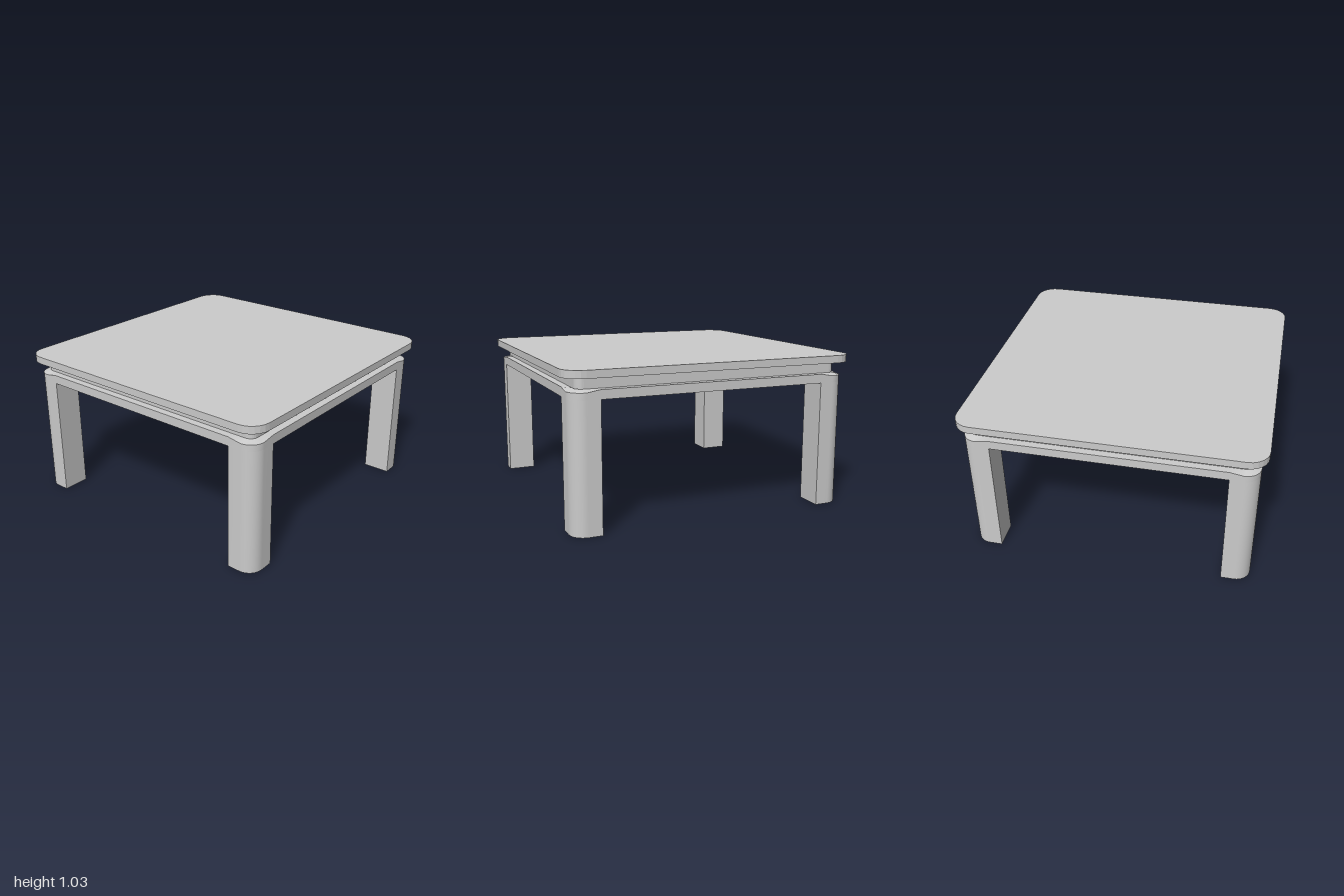
import * as THREE from 'three';

const OUT = 0.96;      // outer face of legs and apron
const INNER = 0.77;    // inner face of legs
const APRON_Y = 0.845; // underside
const RIM_Y = 0.905;   // ledge height
const DIP_Y = 0.89;    // ledge height at the rounded corners

const solid = new THREE.MeshStandardMaterial({ color: 0xcccccc });
const thin = new THREE.MeshStandardMaterial({ color: 0xcccccc, side: THREE.DoubleSide });

function add(parent, name, geometry, material) {
  const mesh = new THREE.Mesh(geometry, material);
  mesh.name = name;
  parent.add(mesh);
  return mesh;
}

// Rounded corner path [x, z, rimHeight] in the +x +z quarter
function cornerPath(half, start, radius, segments = 8) {
  const c = half - radius;
  const points = [[start, half, RIM_Y]];
  for (let i = 0; i <= segments; i++) {
    const a = (Math.PI / 2) * (1 - i / segments);
    points.push([c + radius * Math.cos(a), c + radius * Math.sin(a), DIP_Y]);
  }
  points.push([half, start, RIM_Y]);
  return points;
}

// Closed loop from one corner turned four times
function closedLoop(corner) {
  const points = [];
  let quarter = corner;
  for (let k = 0; k < 4; k++) {
    points.push(...quarter);
    quarter = quarter.map(([x, z, y]) => [z, -x, y]);
  }
  points.push(corner[0]);
  return points;
}

const atHeight = (path, y) => path.map(([x, z]) => [x, z, y]);

// Surface between two paths with the same number of points
function strip(lower, upper) {
  const n = lower.length;
  const index = [];
  for (let i = 0; i < n - 1; i++) index.push(i, i + 1, n + i + 1, i, n + i + 1, n + i);
  const positions = [...lower, ...upper].flatMap(([x, z, y]) => [x, y, z]);
  const g = new THREE.BufferGeometry();
  g.setAttribute('position', new THREE.Float32BufferAttribute(positions, 3));
  g.setIndex(index);
  g.computeVertexNormals();
  return g;
}

// Flat slab with rounded corners
function roundedSlab(half, radius, y0, y1) {
  const c = half - radius;
  const shape = new THREE.Shape();
  shape.absarc(c, c, radius, 0, Math.PI / 2);
  shape.absarc(-c, c, radius, Math.PI / 2, Math.PI);
  shape.absarc(-c, -c, radius, Math.PI, Math.PI * 1.5);
  shape.absarc(c, -c, radius, Math.PI * 1.5, Math.PI * 2);
  const g = new THREE.ExtrudeGeometry(shape, { depth: y1 - y0, bevelEnabled: false, curveSegments: 3 });
  return g.rotateX(-Math.PI / 2).translate(0, y0, 0);
}

export function createModel() {
  const table = new THREE.Group();
  table.name = 'table';

  // Top and the recessed neck below it
  add(table, 'tableTop', roundedSlab(1, 0.13, 0.98, 1.03), solid);
  add(table, 'neck', roundedSlab(0.91, 0.05, RIM_Y, 0.98), solid);

  // Apron wall, and the ledge that dips at the corners
  const corner = cornerPath(OUT, INNER, 0.1);
  const rim = closedLoop(corner);
  const ledgeInner = atHeight(closedLoop(cornerPath(0.9, INNER, 0.05)), RIM_Y);
  add(table, 'apron', strip(atHeight(rim, APRON_Y), rim), thin);
  add(table, 'ledge', strip(rim, ledgeInner), thin);

  // Underside, cut out where the hollow legs stand
  const a = OUT, b = INNER;
  const cross = new THREE.Shape([
    [a, -b], [a, b], [b, b], [b, a], [-b, a], [-b, b],
    [-a, b], [-a, -b], [-b, -b], [-b, -a], [b, -a], [b, -b],
  ].map(([x, y]) => new THREE.Vector2(x, y)));
  const underside = new THREE.ShapeGeometry(cross).rotateX(Math.PI / 2).translate(0, APRON_Y, 0);
  add(table, 'underside', underside, thin);

  // Hollow legs, open at the foot
  const outerWall = strip(atHeight(corner, 0), atHeight(corner, APRON_Y));
  const innerPaths = [
    [[OUT, INNER], [INNER, INNER]],
    [[INNER, INNER], [INNER, OUT]],
  ];
  for (let k = 0; k < 4; k++) {
    const leg = new THREE.Group();
    leg.name = 'leg';
    leg.rotation.y = (k * Math.PI) / 2;
    add(leg, 'legOuterWall', outerWall, thin);
    for (const path of innerPaths) {
      add(leg, 'legInnerWall', strip(atHeight(path, 0), atHeight(path, APRON_Y)), thin);
    }
    table.add(leg);
  }
  return table;
}
